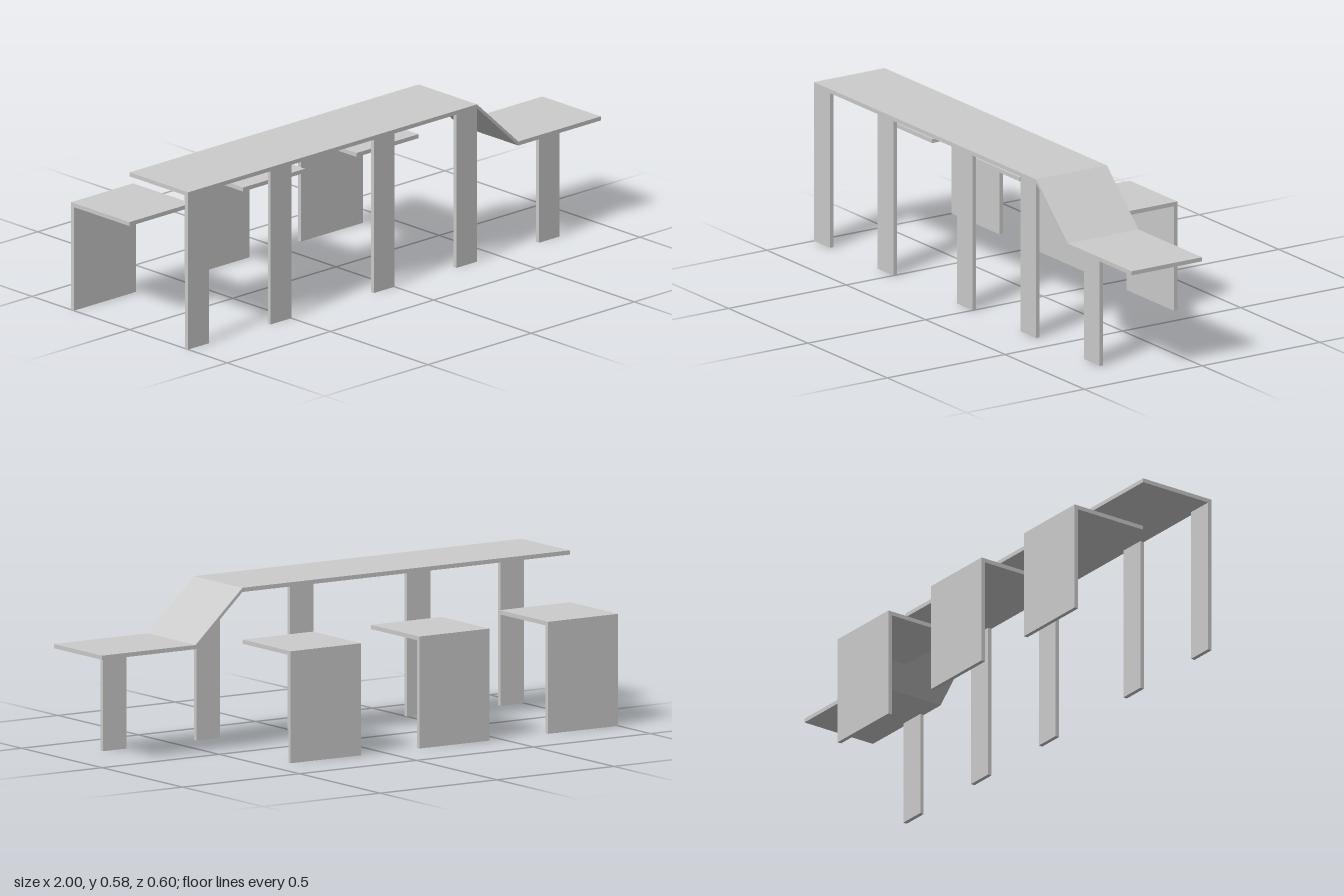
import * as THREE from 'three';

const T = 0.015; // board thickness
const HIGH = 0.585, LOW = 0.4; // upper surfaces of the bar and of the seats
const DEPTH = 0.3;

export function createModel() {
  const model = new THREE.Group();
  const material = new THREE.MeshStandardMaterial({ color: 0xcccccc, flatShading: true });

  const add = (parent, name, geometry) => {
    const mesh = new THREE.Mesh(geometry, material);
    mesh.name = name;
    parent.add(mesh);
    return mesh;
  };

  // Box given by its minimum and maximum corners
  const board = (parent, name, [x0, y0, z0], [x1, y1, z1]) =>
    add(parent, name, new THREE.BoxGeometry(x1 - x0, y1 - y0, z1 - z0))
      .position.set((x0 + x1) / 2, (y0 + y1) / 2, (z0 + z1) / 2);

  // Countertop: high bar, sloping ramp and low table as one folded board
  const line = [[-1, HIGH], [0.4, HIGH], [0.6, LOW], [1, LOW]];
  const under = line.map(([x, y]) => [x, y - T]).reverse();
  const profile = new THREE.Shape([...line, ...under].map(([x, y]) => new THREE.Vector2(x, y)));
  add(model, 'countertop', new THREE.ExtrudeGeometry(profile, { depth: DEPTH, bevelEnabled: false }));

  // Flat legs along the front edge; the last one carries the low table
  for (const [x, top] of [[-1, HIGH], [-0.6, HIGH], [-0.1, HIGH], [0.3, HIGH], [0.7, LOW]]) {
    board(model, 'frontLeg', [x, 0, DEPTH - T], [x + 0.1, top - T, DEPTH]);
  }

  // Seats behind the bar: a square top on a full-width back panel
  for (const x of [-1, -0.45, 0.1]) {
    const seat = new THREE.Group();
    seat.name = 'seat';
    board(seat, 'seatTop', [x, LOW - T, -DEPTH], [x + 0.3, LOW, 0]);
    board(seat, 'seatPanel', [x, 0, -DEPTH], [x + 0.3, LOW - T, -DEPTH + T]);
    model.add(seat);
  }

  return model;
}
